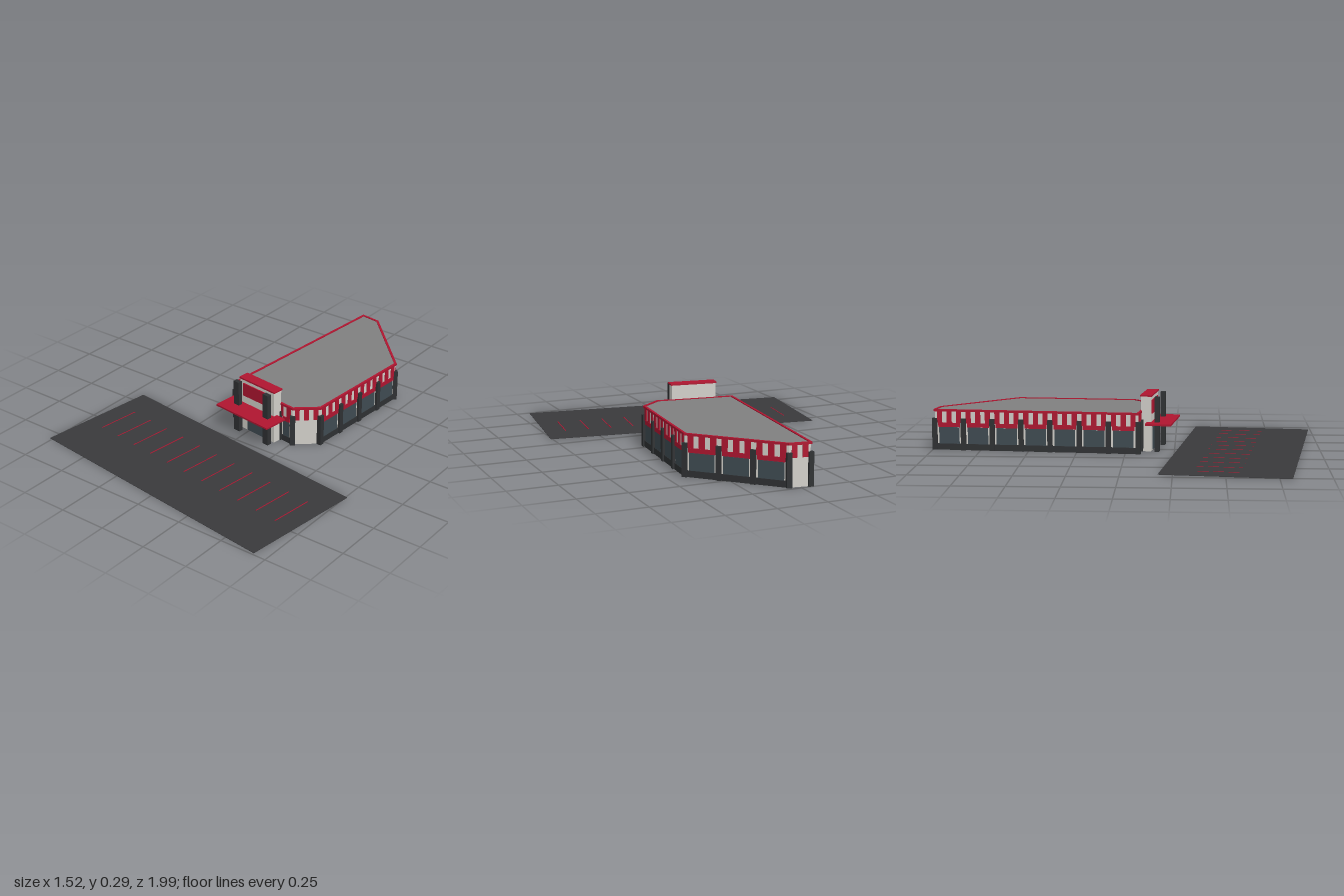
import * as THREE from 'three';

const mat = (color) => new THREE.MeshStandardMaterial({ color });
const red = mat(0xb01530), dark = mat(0x2f3133), glass = mat(0x3f4b52);
const white = mat(0xd2d0ca), grey = mat(0x808080), asphalt = mat(0x39393b);

const TILT = -0.124; // the forecourt and entrance are turned slightly

function box(parent, name, material, w, h, d, x, y, z) {
  const m = new THREE.Mesh(new THREE.BoxGeometry(w, h, d), material);
  m.name = name;
  m.position.set(x, y + h / 2, z); // y is the underside
  parent.add(m);
  return m;
}

// Wall corners (x, z), starting front left; each edge lists its window bays
const corners = [[-0.14, 0.066], [0.257, 0.115], [0.365, 0.026], [0.409, -0.6], [0.053, -0.973], [-0.05, -0.988]];
const sides = [
  { name: 'frontWall', bays: [[0, 0.21], [0.79, 1]], stripes: 8 },
  { name: 'cornerWall', bays: [], stripes: 3 },
  { name: 'rightSideWall', bays: split(4), stripes: 12 },
  { name: 'diagonalWall', bays: split(3), stripes: 9 },
  { name: 'backWall', bays: [], stripes: 2 },
  { name: 'leftSideWall', bays: split(7), stripes: 21 },
];

function split(n) {
  return Array.from({ length: n }, (_, i) => [i / n, (i + 1) / n]);
}

// Dressing of one wall: local x runs along the wall, local z points outwards
function wallSide(a, b, { name, bays, stripes }) {
  const g = new THREE.Group();
  g.name = name;
  const dx = b[0] - a[0], dz = b[1] - a[1], len = Math.hypot(dx, dz);
  g.position.set(a[0], 0, a[1]);
  g.rotation.y = Math.atan2(-dz, dx);

  box(g, 'roofTrim', red, len + 0.008, 0.011, 0.012, len / 2, 0.2, 0);
  const pitch = len / stripes;
  for (let i = 0; i < stripes; i++) {
    box(g, 'awningStripe', red, pitch * 0.52, 0.062, 0.006, (i + 0.5) * pitch, 0.14, 0.001);
  }
  for (const [s, e] of bays) {
    const mid = (s + e) / 2 * len, w = (e - s) * len - 0.036;
    box(g, 'windowHeader', red, w, 0.022, 0.008, mid, 0.119, 0.001);
    box(g, 'window', glass, w - 0.008, 0.086, 0.006, mid, 0.032, 0);
    box(g, 'plinth', dark, w + 0.03, 0.032, 0.008, mid, 0, 0.001);
  }
  const posts = new Set([0, ...bays.flat()]);
  posts.delete(1); // the next wall supplies the shared corner post
  for (const t of posts) box(g, 'post', dark, 0.026, 0.165, 0.024, t * len, 0, 0.001);
  return g;
}

function building() {
  const g = new THREE.Group();
  g.name = 'building';
  const shape = new THREE.Shape(corners.map(([x, z]) => new THREE.Vector2(x, -z)));
  const geo = new THREE.ExtrudeGeometry(shape, { depth: 0.207, bevelEnabled: false });
  geo.rotateX(-Math.PI / 2);
  const shell = new THREE.Mesh(geo, [grey, white]); // grey roof and floor, white walls
  shell.name = 'wallsAndRoof';
  g.add(shell);
  sides.forEach((side, i) => g.add(wallSide(corners[i], corners[(i + 1) % corners.length], side)));
  return g;
}

function entrance() {
  const g = new THREE.Group();
  g.name = 'entrance';
  g.position.set(0.06, 0, 0.118);
  g.rotation.y = TILT;
  box(g, 'tower', white, 0.235, 0.284, 0.052, 0, 0, 0);
  box(g, 'towerCap', red, 0.246, 0.008, 0.06, 0, 0.284, 0);
  box(g, 'signPanel', red, 0.18, 0.07, 0.008, -0.005, 0.195, 0.028);
  box(g, 'canopy', red, 0.357, 0.009, 0.133, -0.005, 0.143, 0.071);
  // Glazed door under a red header
  box(g, 'doorHeader', red, 0.15, 0.02, 0.006, -0.005, 0.125, 0.027);
  box(g, 'door', glass, 0.125, 0.119, 0.006, -0.005, 0.003, 0.026);
  for (const s of [-1, 1]) {
    box(g, 'column', dark, 0.036, 0.283, 0.024, -0.005 + s * 0.102, 0, 0.057);
  }
  return g;
}

function carPark() {
  const g = new THREE.Group();
  g.name = 'carPark';
  g.position.set(-0.003, 0, 0.585);
  g.rotation.y = TILT;
  box(g, 'asphalt', asphalt, 1.456, 0.002, 0.635, 0, 0, 0);
  for (let i = -5; i <= 5; i++) {
    box(g, 'bayLine', red, 0.005, 0.001, 0.225, i * 0.1235, 0.0018, -0.048);
  }
  return g;
}

export function createModel() {
  const model = new THREE.Group();
  model.name = 'shopWithCarPark';
  model.add(building(), entrance(), carPark());
  return model;
}
